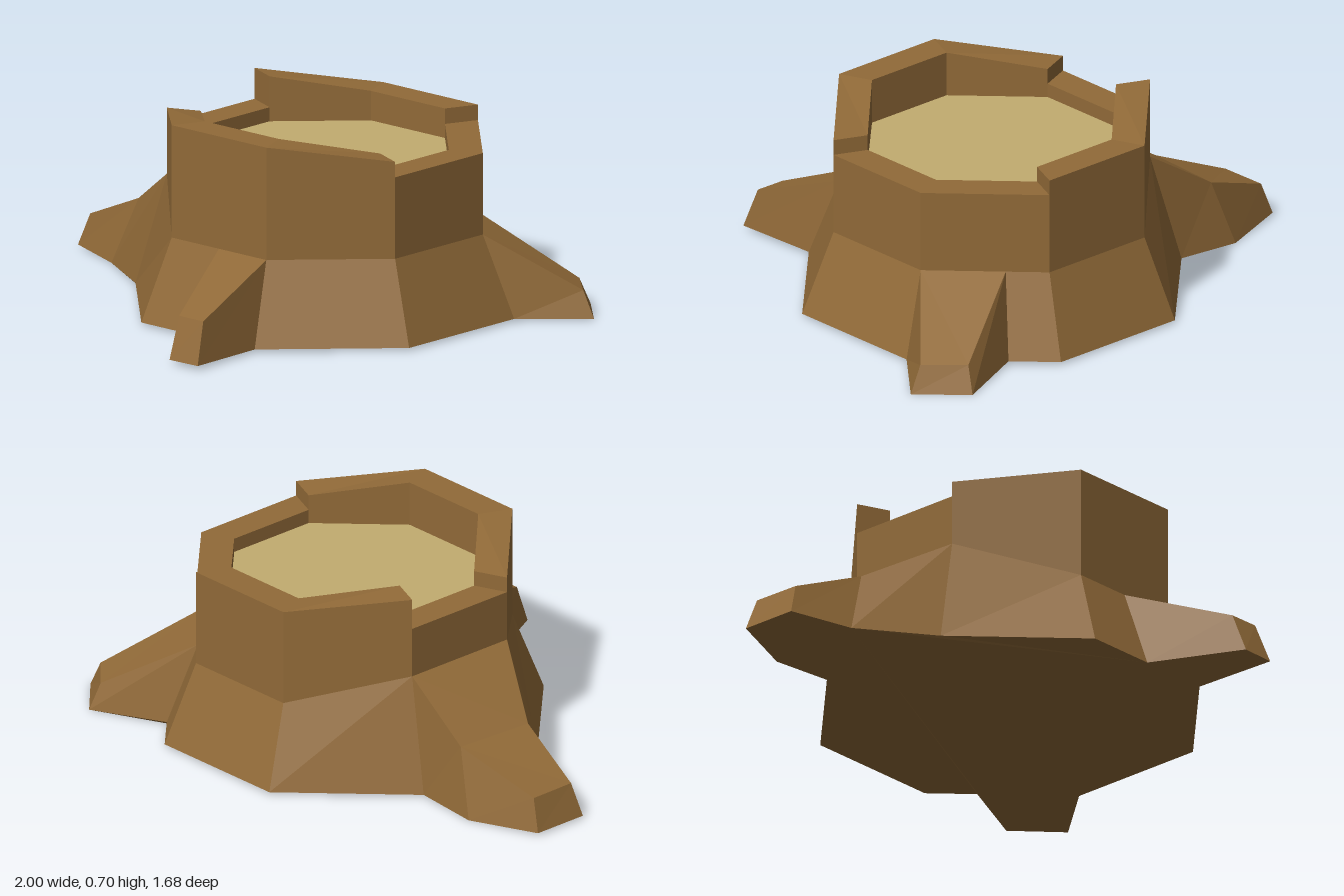
import * as THREE from 'three';

const CX = 0.06, CZ = -0.15, BASE_Y = 0.01, FLOOR_Y = 0.54;
const BASE_R = 0.695, OUTER_R = 0.58, INNER_R = 0.455;

// Rim height at the start and end of each of the eight sides (the top is chipped)
const RIM = [
  [0.70, 0.645], [0.59, 0.59], [0.59, 0.59], [0.645, 0.645],
  [0.645, 0.70], [0.59, 0.59], [0.645, 0.70], [0.70, 0.70],
];
// Height where the trunk starts to flare; higher beside the large root
const FLARE = [0.3, 0.3, 0.3, 0.3, 0.3, 0.41, 0.41, 0.3];

// Roots: the side they grow from, the part of that side they cover,
// and outer cross-sections as [baseA, topA, topB, baseB]
const ROOTS = [
  { name: 'frontRoot', side: 7, from: 0.5, to: 1, sections: [
    [[-0.16, 0.015, 0.795], [-0.145, 0.16, 0.74], [-0.04, 0.16, 0.785], [-0.04, 0.015, 0.84]],
  ] },
  { name: 'leftRoot', side: 2, from: 0, to: 0.66, sections: [
    [[1.0, 0, -0.28], [0.955, 0.095, -0.295], [0.885, 0.095, -0.445], [0.915, 0, -0.475]],
  ] },
  { name: 'backRightRoot', side: 5, from: 0, to: 1, sections: [
    [[-0.65, 0, -0.745], [-0.59, 0.24, -0.68], [-0.72, 0.24, -0.41], [-0.82, 0, -0.41]],
    [[-0.92, 0.01, -0.76], [-0.89, 0.125, -0.73], [-0.955, 0.125, -0.565], [-1.0, 0.01, -0.565]],
  ] },
];

const bark = new THREE.MeshStandardMaterial({ color: 0x916a38, flatShading: true });
const heartwood = new THREE.MeshStandardMaterial({ color: 0xc2ac70, flatShading: true });

// Corner k of the octagon, counted from the front towards the left
function corner(k, r, y) {
  const a = (k * Math.PI) / 4;
  return [CX + r * Math.sin(a), y, CZ + r * Math.cos(a)];
}

const mix = (a, b, t) => a.map((v, i) => v + (b[i] - v) * t);

// Collects flat faces into one mesh
function faces(name, material, build) {
  const pos = [];
  const tri = (a, b, c) => pos.push(...a, ...b, ...c);
  const quad = (a, b, c, d) => { tri(a, b, c); tri(a, c, d); };
  build(quad, tri);
  const geo = new THREE.BufferGeometry();
  geo.setAttribute('position', new THREE.Float32BufferAttribute(pos, 3));
  geo.computeVertexNormals();
  const mesh = new THREE.Mesh(geo, material);
  mesh.name = name;
  return mesh;
}

// Points at fraction t along a side, on the ground and at the flare line
const groundAt = (k, t) => mix(corner(k, BASE_R, BASE_Y), corner(k + 1, BASE_R, BASE_Y), t);
const flareAt = (k, t) =>
  mix(corner(k, OUTER_R, FLARE[k]), corner(k + 1, OUTER_R, FLARE[(k + 1) % 8]), t);

export function createModel() {
  const group = new THREE.Group();
  group.name = 'treeStump';

  // Upright trunk wall
  group.add(faces('trunkWall', bark, (quad) => {
    RIM.forEach(([h0, h1], k) => quad(flareAt(k, 0), flareAt(k, 1),
      corner(k + 1, OUTER_R, h1), corner(k, OUTER_R, h0)));
  }));

  // Chipped rim: top, inner wall and the steps between heights
  group.add(faces('rim', bark, (quad) => {
    RIM.forEach(([h0, h1], k) => {
      const o0 = corner(k, OUTER_R, h0), o1 = corner(k + 1, OUTER_R, h1);
      const i0 = corner(k, INNER_R, h0), i1 = corner(k + 1, INNER_R, h1);
      quad(o0, o1, i1, i0);
      quad(corner(k + 1, INNER_R, FLOOR_Y), corner(k, INNER_R, FLOOR_Y), i0, i1);
      const prev = RIM[(k + 7) % 8][1];
      if (prev !== h0) quad(o0, i0, corner(k, INNER_R, prev), corner(k, OUTER_R, prev));
    });
  }));

  // Pale cut wood inside the rim
  group.add(faces('cutWood', heartwood, (quad, tri) => {
    for (let k = 0; k < 8; k++) {
      tri([CX, FLOOR_Y, CZ], corner(k, INNER_R, FLOOR_Y), corner(k + 1, INNER_R, FLOOR_Y));
    }
  }));

  // Flared foot, left open where a root grows out
  group.add(faces('flaredFoot', bark, (quad) => {
    for (let k = 0; k < 8; k++) {
      const root = ROOTS.find((r) => r.side === k);
      const spans = root ? [[0, root.from], [root.to, 1]] : [[0, 1]];
      for (const [s, e] of spans) {
        if (e > s) quad(groundAt(k, s), groundAt(k, e), flareAt(k, e), flareAt(k, s));
      }
    }
  }));

  // Roots, skinned over their cross-sections and capped at the tip
  for (const { name, side, from, to, sections } of ROOTS) {
    group.add(faces(name, bark, (quad) => {
      let inner = [groundAt(side, from), flareAt(side, from), flareAt(side, to), groundAt(side, to)];
      for (const outer of sections) {
        for (let i = 0; i < 3; i++) quad(inner[i], outer[i], outer[i + 1], inner[i + 1]);
        inner = outer;
      }
      quad(inner[0], inner[3], inner[2], inner[1]);
    }));
  }

  // Underside following the outline of foot and roots
  const outline = [];
  for (let k = 0; k < 8; k++) {
    outline.push(groundAt(k, 0));
    const root = ROOTS.find((r) => r.side === k);
    if (!root) continue;
    if (root.from > 0) outline.push(groundAt(k, root.from));
    root.sections.forEach((s) => outline.push(s[0]));
    [...root.sections].reverse().forEach((s) => outline.push(s[3]));
    if (root.to < 1) outline.push(groundAt(k, root.to));
  }
  group.add(faces('underside', bark, (quad, tri) => {
    const flat = outline.map(([x, , z]) => new THREE.Vector2(x, -z));
    for (const [a, b, c] of THREE.ShapeUtils.triangulateShape(flat, [])) {
      tri(outline[a], outline[c], outline[b]);
    }
  }));

  return group;
}
